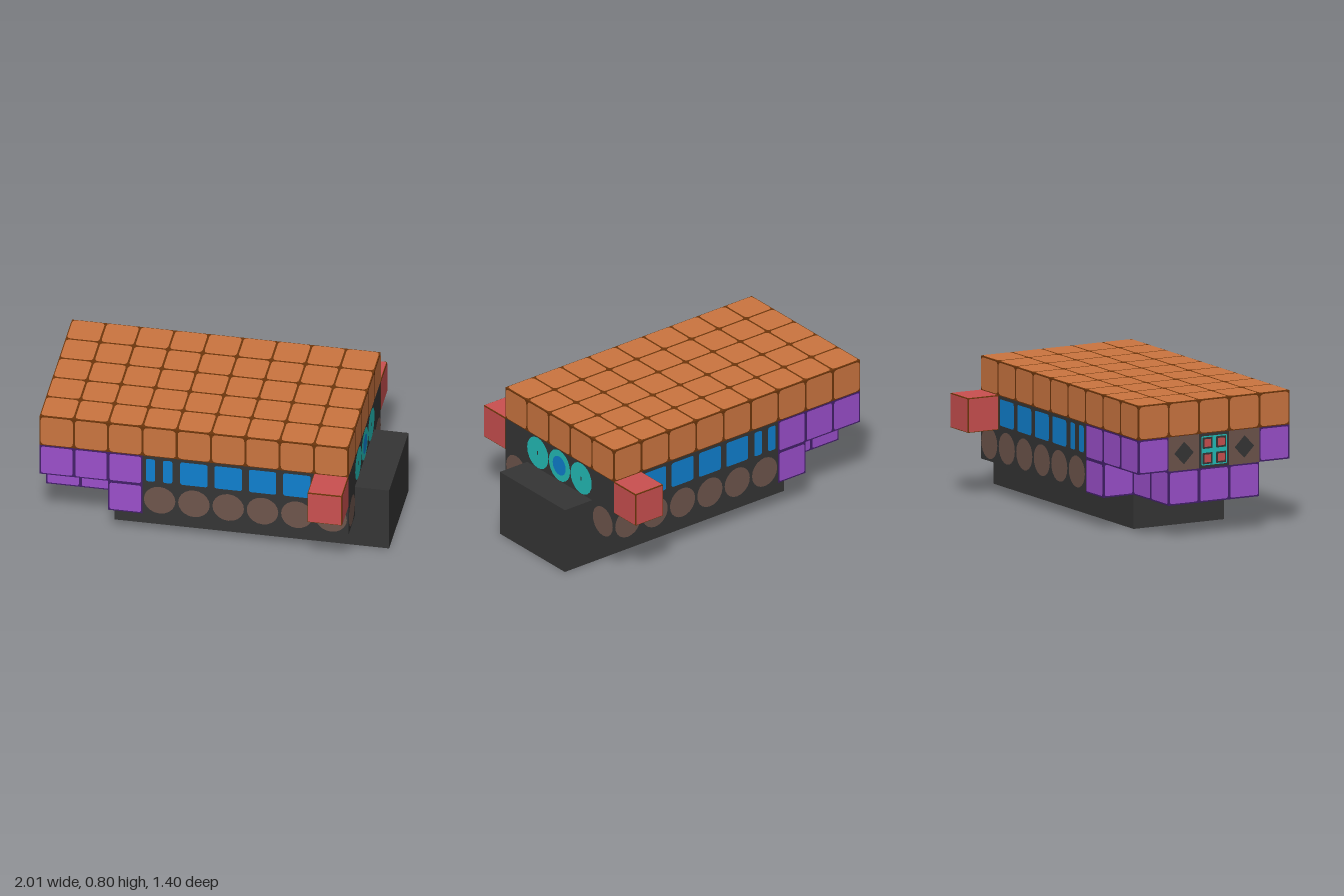
import * as THREE from 'three';
import { mergeGeometries } from 'three/addons/utils/BufferGeometryUtils.js';

const C = 0.2; // edge of one block

function material(name, hex) {
  const m = new THREE.MeshStandardMaterial({ color: hex });
  m.name = name;
  return m;
}

// Flat rounded panel facing +z
function panel(w, h, r) {
  const x = w / 2, y = h / 2, s = new THREE.Shape();
  s.moveTo(-x + r, -y);
  s.lineTo(x - r, -y); s.quadraticCurveTo(x, -y, x, -y + r);
  s.lineTo(x, y - r); s.quadraticCurveTo(x, y, x - r, y);
  s.lineTo(-x + r, y); s.quadraticCurveTo(-x, y, -x, y - r);
  s.lineTo(-x, -y + r); s.quadraticCurveTo(-x, -y, -x + r, -y);
  return new THREE.ShapeGeometry(s, 3);
}

// Turn a +z plate towards a side and set it just above the surface
const turns = {
  '+z': [0, 0], '-z': [0, Math.PI], '+x': [0, Math.PI / 2], '-x': [0, -Math.PI / 2],
  '+y': [-Math.PI / 2, 0], '-y': [Math.PI / 2, 0],
};
function place(geo, side, x, y, z, lift = 0.002) {
  const [rx, ry] = turns[side];
  const p = [x, y, z], axis = 'xyz'.indexOf(side[1]);
  p[axis] += side[0] === '+' ? lift : -lift;
  return geo.clone().rotateX(rx).rotateY(ry).translate(...p);
}

export function createModel() {
  const model = new THREE.Group();
  const orange = material('orange', 0xcb7540);
  const groove = material('dark brown', 0x6e360c);
  const purple = material('purple', 0x9b4fcb);
  const seam = material('dark purple', 0x43206a);
  const blue = material('blue', 0x0f80cf);
  const dark = material('charcoal', 0x353535);
  const brown = material('dull brown', 0x6e554c);
  const teal = material('teal', 0x23bdb8);
  const red = material('red', 0xca5050);

  function add(name, geo, mat, parent = model) {
    const mesh = new THREE.Mesh(geo, mat);
    mesh.name = name;
    parent.add(mesh);
  }
  function box(a, b) {
    const g = new THREE.BoxGeometry(b[0] - a[0], b[1] - a[1], b[2] - a[2]);
    return g.translate((a[0] + b[0]) / 2, (a[1] + b[1]) / 2, (a[2] + b[2]) / 2);
  }
  // Box with rounded tiles on the listed sides
  function tiledBox(name, a, b, sides, tileMat, jointMat, margin, radius) {
    const group = new THREE.Group();
    group.name = name;
    add(name + 'Core', box(a, b), jointMat, group);
    const tile = panel(C - 2 * margin, C - 2 * margin, radius), tiles = [];
    for (const side of sides) {
      const n = 'xyz'.indexOf(side[1]), u = (n + 1) % 3, v = (n + 2) % 3;
      const nu = Math.round((b[u] - a[u]) / C), nv = Math.round((b[v] - a[v]) / C);
      for (let i = 0; i < nu; i++) for (let j = 0; j < nv; j++) {
        const p = [0, 0, 0];
        p[n] = side[0] === '+' ? b[n] : a[n];
        p[u] = a[u] + (i + 0.5) * C;
        p[v] = a[v] + (j + 0.5) * C;
        tiles.push(place(tile, side, ...p));
      }
    }
    add(name + 'Tiles', mergeGeometries(tiles), tileMat, group);
    model.add(group);
  }

  // Dark hull and keel
  add('hull', box([-0.4, 0.2, -0.5], [0.8, 0.6, 0.5]), dark);
  add('keel', box([-0.6, 0, -0.3], [1, 0.4, 0.3]), dark);

  // Roof
  tiledBox('roof', [-1, 0.6, -0.5], [0.8, 0.8, 0.5],
    ['+x', '-x', '+y', '+z', '-z'], orange, groove, 0.006, 0.025);

  // Purple tail
  tiledBox('tailUpper', [-1, 0.4, -0.5], [-0.4, 0.6, 0.5],
    ['+z', '-z', '-y'], purple, seam, 0.009, 0.012);
  tiledBox('tailLower', [-1, 0.2, -0.3], [-0.6, 0.4, 0.3],
    ['+z', '-z', '-x', '-y'], purple, seam, 0.009, 0.012);
  const tailTile = panel(0.182, 0.182, 0.012);
  for (const s of [1, -1]) {
    tiledBox(s > 0 ? 'tailCheekLeft' : 'tailCheekRight',
      [-0.6, 0.2, s > 0 ? 0.3 : -0.5], [-0.4, 0.4, s > 0 ? 0.5 : -0.3],
      ['-x', '-y', s > 0 ? '+z' : '-z'], purple, seam, 0.009, 0.012);
    add('tailEndTile', place(tailTile, '-x', -1, 0.5, s * 0.4), purple);
    // Side blocks
    tiledBox(s > 0 ? 'sideBlockFront' : 'sideBlockBack',
      [0.6, 0.4, s > 0 ? 0.5 : -0.7], [0.8, 0.6, s > 0 ? 0.7 : -0.5],
      ['+x', '-x', '+y', '-y', s > 0 ? '+z' : '-z'], red, groove, 0.004, 0.004);
  }

  // Windows and round wheels along both sides and below
  const windows = [], discs = [];
  const wide = panel(0.16, 0.155, 0.015), narrow = panel(0.055, 0.155, 0.015);
  const disc = new THREE.CircleGeometry(0.092, 20);
  for (const s of [1, -1]) {
    const side = s > 0 ? '+z' : '-z';
    for (const x of [-0.353, -0.253]) windows.push(place(narrow, side, x, 0.505, s * 0.5));
    for (let i = 0; i < 4; i++) windows.push(place(wide, side, -0.1 + i * C, 0.505, s * 0.5));
    for (let i = 0; i < 6; i++) {
      discs.push(place(disc, side, -0.3 + i * C, 0.305, s * 0.5));
      discs.push(place(disc, '-y', -0.3 + i * C, 0.2, s * 0.4));
    }
    discs.push(place(disc, '+x', 0.8, 0.305, s * 0.4));
  }
  add('windows', mergeGeometries(windows), blue);
  add('wheels', mergeGeometries(discs), brown);

  // Nose lamps
  const lamp = new THREE.CircleGeometry(0.098, 20);
  for (const z of [-0.2, 0, 0.2]) {
    add('noseLamp', place(lamp, '+x', 0.8, 0.5, z), teal);
    if (z) add('lampSlit', place(panel(0.008, 0.025, 0.001), '+x', 0.8, 0.5, z, 0.004), dark);
  }
  add('noseLampCentre', place(new THREE.CircleGeometry(0.06, 20), '+x', 0.8, 0.5, 0, 0.004), blue);

  // Rear panel: diamonds at the sides, a small instrument grid between
  const square = panel(C, C, 0.001);
  add('rearPanel', place(square, '-x', -1, 0.5, 0), dark);
  add('rearGrid', place(panel(0.17, 0.17, 0.01), '-x', -1, 0.5, 0, 0.004), teal);
  for (const s of [1, -1]) {
    add('rearSidePanel', place(square, '-x', -1, 0.5, s * 0.2), brown);
    add('rearDiamond', place(new THREE.CircleGeometry(0.065, 4), '-x', -1, 0.5, s * 0.2, 0.004), dark);
    for (const t of [1, -1]) {
      const y = 0.5 + t * 0.045, z = s * 0.045;
      add('rearButtonFrame', place(panel(0.066, 0.066, 0.005), '-x', -1, y, z, 0.006), dark);
      add('rearButton', place(panel(0.045, 0.045, 0.005), '-x', -1, y, z, 0.008), red);
    }
  }
  return model;
}
